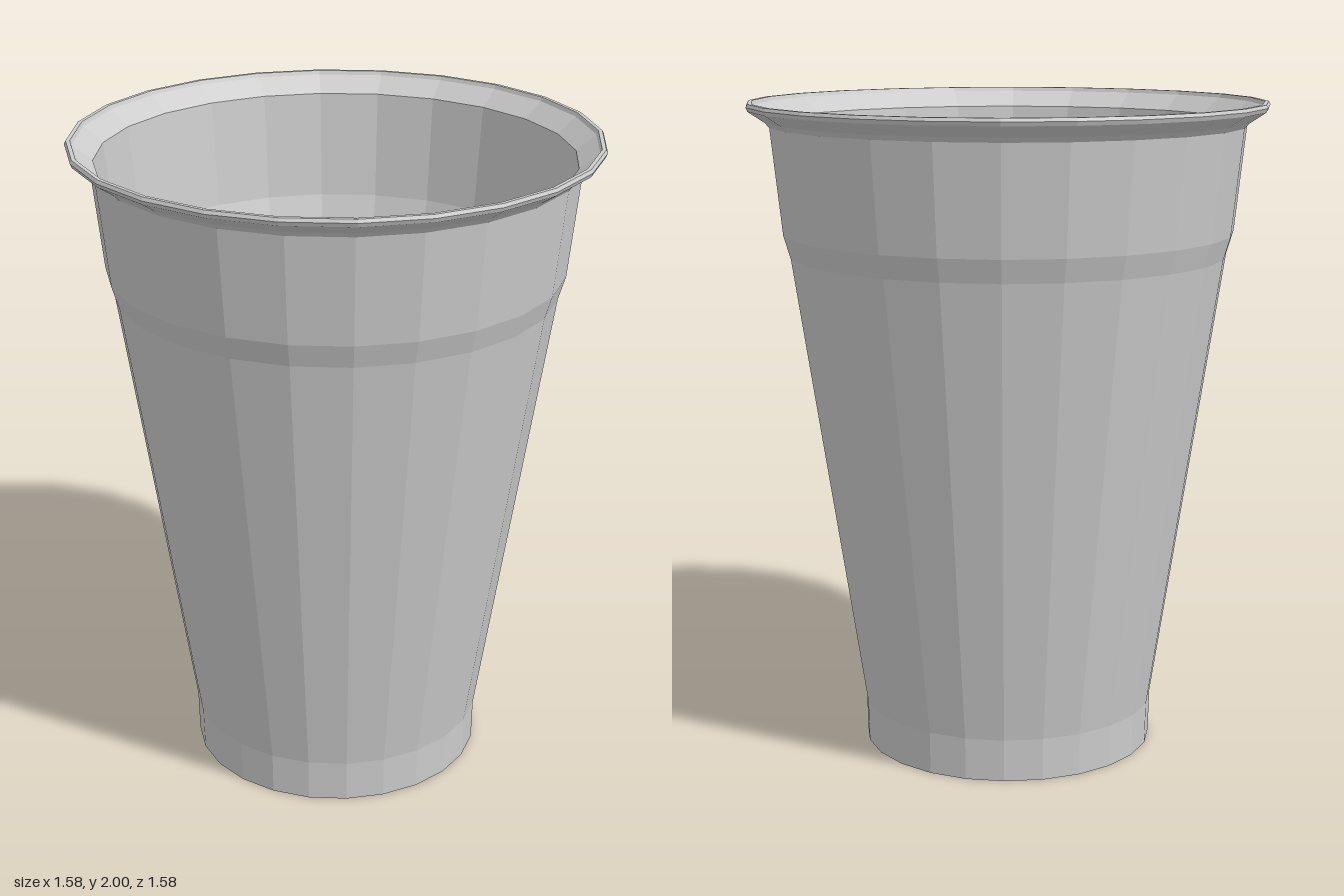
import * as THREE from 'three';

const SIDES = 24;

// Revolve a [radius, height] profile into a faceted surface
function lathe(name, profile, material) {
  const points = profile.map(([r, y]) => new THREE.Vector2(r, y));
  const geometry = new THREE.LatheGeometry(points, SIDES).toNonIndexed();
  geometry.computeVertexNormals();
  const mesh = new THREE.Mesh(geometry, material);
  mesh.name = name;
  return mesh;
}

export function createModel() {
  const plastic = new THREE.MeshStandardMaterial({ color: 0xcccccc });
  plastic.name = 'greyPlastic';
  plastic.flatShading = true;

  const cup = new THREE.Group();
  cup.name = 'cup';

  // Outside: foot, tapered side, stepped band and neck
  cup.add(lathe('outerWall', [
    [0.45, 0], [0.453, 0.13], [0.667, 1.54], [0.688, 1.61], [0.722, 1.93],
  ], plastic));

  // Flared lip with a thin rounded edge
  cup.add(lathe('lip', [
    [0.722, 1.93], [0.735, 1.945], [0.785, 1.978], [0.79, 1.99], [0.785, 2],
    [0.773, 2], [0.768, 1.988], [0.71, 1.94],
  ], plastic));

  // Inside of the wall, following the outside
  cup.add(lathe('innerWall', [
    [0.71, 1.94], [0.677, 1.61], [0.656, 1.54], [0.44, 0.13], [0.425, 0.04],
  ], plastic));

  // Floor seen from above
  cup.add(lathe('floor', [[0.425, 0.04], [0, 0.04]], plastic));

  // Shallow recessed underside inside the foot ring
  cup.add(lathe('underside', [[0, 0.025], [0.437, 0.025], [0.44, 0], [0.45, 0]], plastic));

  return cup;
}
